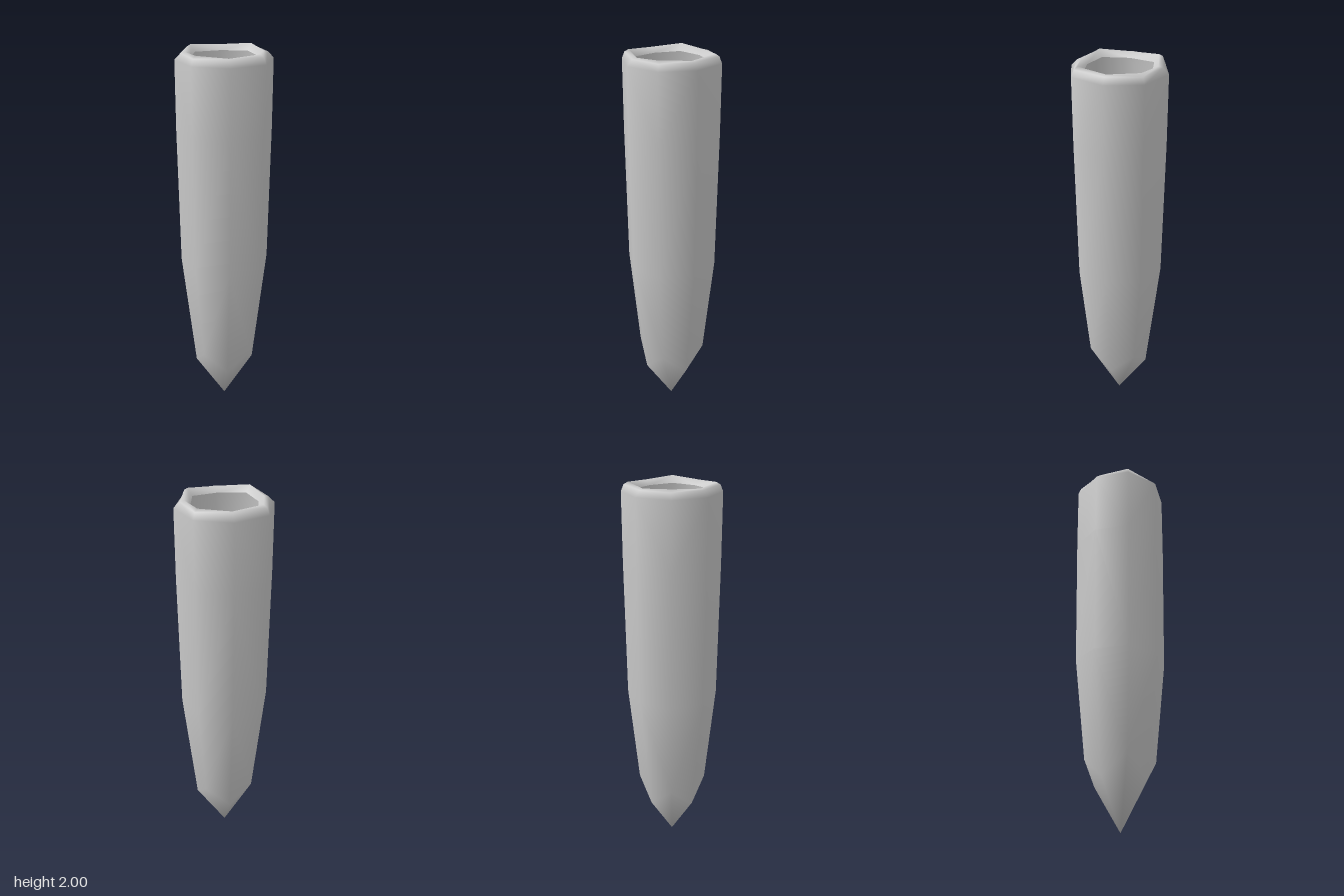
import * as THREE from 'three';

const SIDES = 8;

// Each ring: radius and height on the axes, radius and height on the diagonals
const RINGS = [
  [0.160, 0.245, 0.183, 0.355], // edge of the pointed end
  [0.232, 0.890, 0.238, 0.890], // start of the taper
  [0.242, 1.600, 0.248, 1.600], // shaft
  [0.242, 1.955, 0.249, 1.955], // shoulder
  [0.212, 1.985, 0.235, 1.988], // bevel
  [0.190, 1.990, 0.215, 2.000], // crest of the rim
  [0.162, 1.965, 0.188, 1.965], // inner edge of the folded lip
];

function createShell() {
  const positions = [0, 0, 0]; // tip
  const index = [];
  for (const [axisR, axisY, diagR, diagY] of RINGS) {
    for (let i = 0; i < SIDES; i++) {
      const a = (i / SIDES) * Math.PI * 2;
      const r = i % 2 ? diagR : axisR;
      positions.push(Math.sin(a) * r, i % 2 ? diagY : axisY, Math.cos(a) * r);
    }
  }
  const at = (ring, i) => 1 + ring * SIDES + (i % SIDES);
  for (let i = 0; i < SIDES; i++) {
    index.push(0, at(0, i + 1), at(0, i));
    for (let k = 0; k < RINGS.length - 1; k++) {
      const a = at(k, i), b = at(k, i + 1), c = at(k + 1, i + 1), d = at(k + 1, i);
      // mirror the split so that diagonals stay symmetric
      if (i % 2) index.push(a, b, c, a, c, d);
      else index.push(a, b, d, b, c, d);
    }
  }
  const geometry = new THREE.BufferGeometry();
  geometry.setAttribute('position', new THREE.Float32BufferAttribute(positions, 3));
  geometry.setIndex(index);
  geometry.computeVertexNormals();
  return geometry;
}

export function createModel() {
  const group = new THREE.Group();
  group.name = 'pointedTube';
  // Open hollow shell, seen from inside as well
  const shell = new THREE.Mesh(
    createShell(),
    new THREE.MeshStandardMaterial({ color: 0xcccccc, side: THREE.DoubleSide })
  );
  shell.name = 'hollowShell';
  group.add(shell);
  return group;
}
